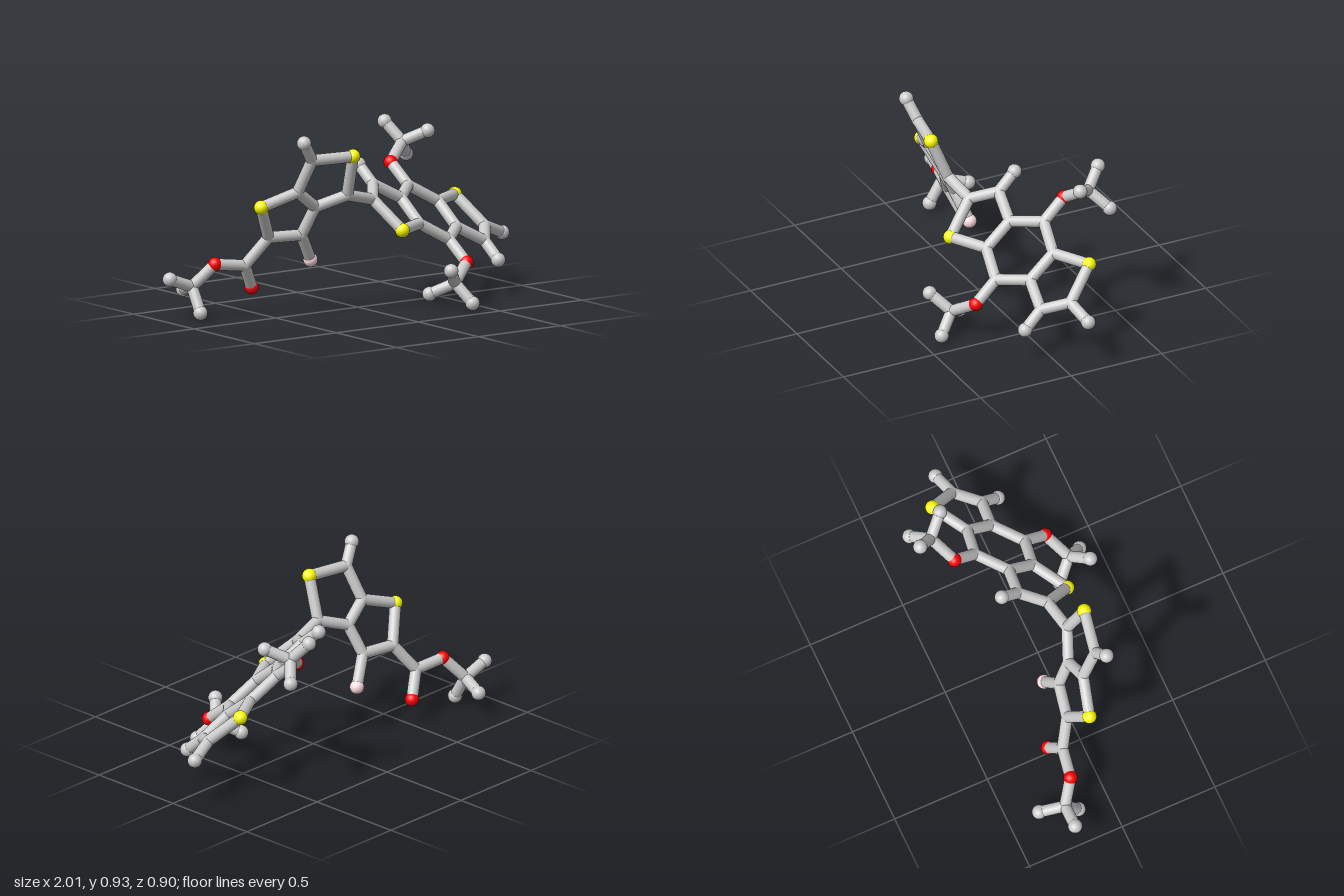
import * as THREE from 'three';

const BOND_RADIUS = 0.029;
const grey = new THREE.MeshStandardMaterial({ color: 0xcccccc });
const coloured = (color) => new THREE.MeshStandardMaterial({ color });

// Ball radius, material and name per element
const ELEMENTS = {
  C: { radius: 0.03, material: grey, name: 'carbonJoint' },
  H: { radius: 0.036, material: grey, name: 'hydrogenBall' },
  S: { radius: 0.036, material: coloured(0xffff00), name: 'sulfurBall' },
  O: { radius: 0.035, material: coloured(0xff0000), name: 'oxygenBall' },
  F: { radius: 0.036, material: coloured(0xffdde2), name: 'fluorineBall' },
};

// Two fused five-sided rings with a fluorine and an ester tail
const LEFT_ATOMS = {
  S1: [-0.16, 0.8, 0.178], C1: [-0.38, 0.797, 0.137], H1: [-0.45, 0.895, 0.166],
  C2: [-0.41, 0.63, 0.058], C3: [-0.285, 0.54, 0.035], C4: [-0.135, 0.593, 0.097],
  S2: [-0.595, 0.567, 0.008], C5: [-0.495, 0.395, -0.068], C6: [-0.32, 0.395, -0.032],
  F1: [-0.235, 0.256, -0.073],
  C7: [-0.59, 0.256, -0.135], O1: [-0.515, 0.133, -0.18], O2: [-0.75, 0.275, -0.165],
  C8: [-0.838, 0.163, -0.235], H2: [-0.97, 0.212, -0.24], H3: [-0.84, 0.042, -0.163],
  H4: [-0.802, 0.128, -0.358],
};
const LEFT_BONDS = 'S1-C1 C1-H1 C1-C2 C2-C3 C3-C4 C4-S1 C2-S2 S2-C5 C5-C6 C6-C3 C6-F1 '
  + 'C5-C7 C7-O1 C7-O2 O2-C8 C8-H2 C8-H3 C8-H4';

// Half of the three-ring core, relative to its centre; the other half is its point reflection
const CORE_CENTRE = new THREE.Vector3(0.436, 0.43, -0.006);
const HALF_ATOMS = {
  C1: [-0.397, 0.119, 0.076], C2: [-0.31, 0.17, -0.043], H1: [-0.324, 0.253, -0.137],
  S1: [-0.32, -0.024, 0.218], C3: [-0.153, 0.085, -0.022], C4: [-0.14, -0.025, 0.113],
  C5: [-0.02, 0.117, -0.143], O1: [-0.038, 0.216, -0.262],
  C6: [0.085, 0.296, -0.334], H2: [0.036, 0.39, -0.413], H3: [0.174, 0.353, -0.244],
  H4: [0.166, 0.215, -0.412],
};
const HALF_BONDS = 'C1-C2 C2-H1 C2-C3 C1-S1 S1-C4 C3-C4 C3-C5 C5-O1 O1-C6 C6-H2 C6-H3 C6-H4';

const ballGeometry = new THREE.SphereGeometry(1, 24, 16);
const rodGeometry = new THREE.CylinderGeometry(BOND_RADIUS, BOND_RADIUS, 1, 20, 1, true);

function addAtom(group, key, position) {
  const { radius, material, name } = ELEMENTS[key[0]];
  const ball = new THREE.Mesh(ballGeometry, material);
  ball.name = name;
  ball.position.copy(position);
  ball.scale.setScalar(radius);
  group.add(ball);
}

function addBond(group, a, b) {
  const rod = new THREE.Mesh(rodGeometry, grey);
  const direction = b.clone().sub(a);
  rod.name = 'bond';
  rod.position.copy(a).add(b).multiplyScalar(0.5);
  rod.scale.y = direction.length();
  rod.quaternion.setFromUnitVectors(new THREE.Vector3(0, 1, 0), direction.normalize());
  group.add(rod);
}

// Builds a named cluster of balls and rods and returns its atom positions
function addCluster(parent, name, atoms, bonds, place) {
  const group = new THREE.Group();
  group.name = name;
  parent.add(group);
  const points = {};
  for (const [key, xyz] of Object.entries(atoms)) {
    points[key] = place(new THREE.Vector3(...xyz));
    addAtom(group, key, points[key]);
  }
  for (const bond of bonds.split(' ')) {
    const [a, b] = bond.split('-');
    addBond(group, points[a], points[b]);
  }
  return points;
}

export function createModel() {
  const model = new THREE.Group();
  model.name = 'molecule';

  const tail = addCluster(model, 'fluorinatedRings', LEFT_ATOMS, LEFT_BONDS, (p) => p);
  const inner = addCluster(model, 'innerCoreHalf', HALF_ATOMS, HALF_BONDS, (p) => p.add(CORE_CENTRE));
  const outer = addCluster(model, 'outerCoreHalf', HALF_ATOMS, HALF_BONDS, (p) => p.negate().add(CORE_CENTRE));

  // Rods closing the central six-sided ring
  addBond(model, inner.C4, outer.C5);
  addBond(model, outer.C4, inner.C5);

  // Link between the two ring systems, and the end hydrogen
  addBond(model, tail.C4, inner.C1);
  const end = new THREE.Vector3(0.964, 0.257, -0.113);
  addAtom(model, 'H', end);
  addBond(model, outer.C1, end);

  return model;
}
